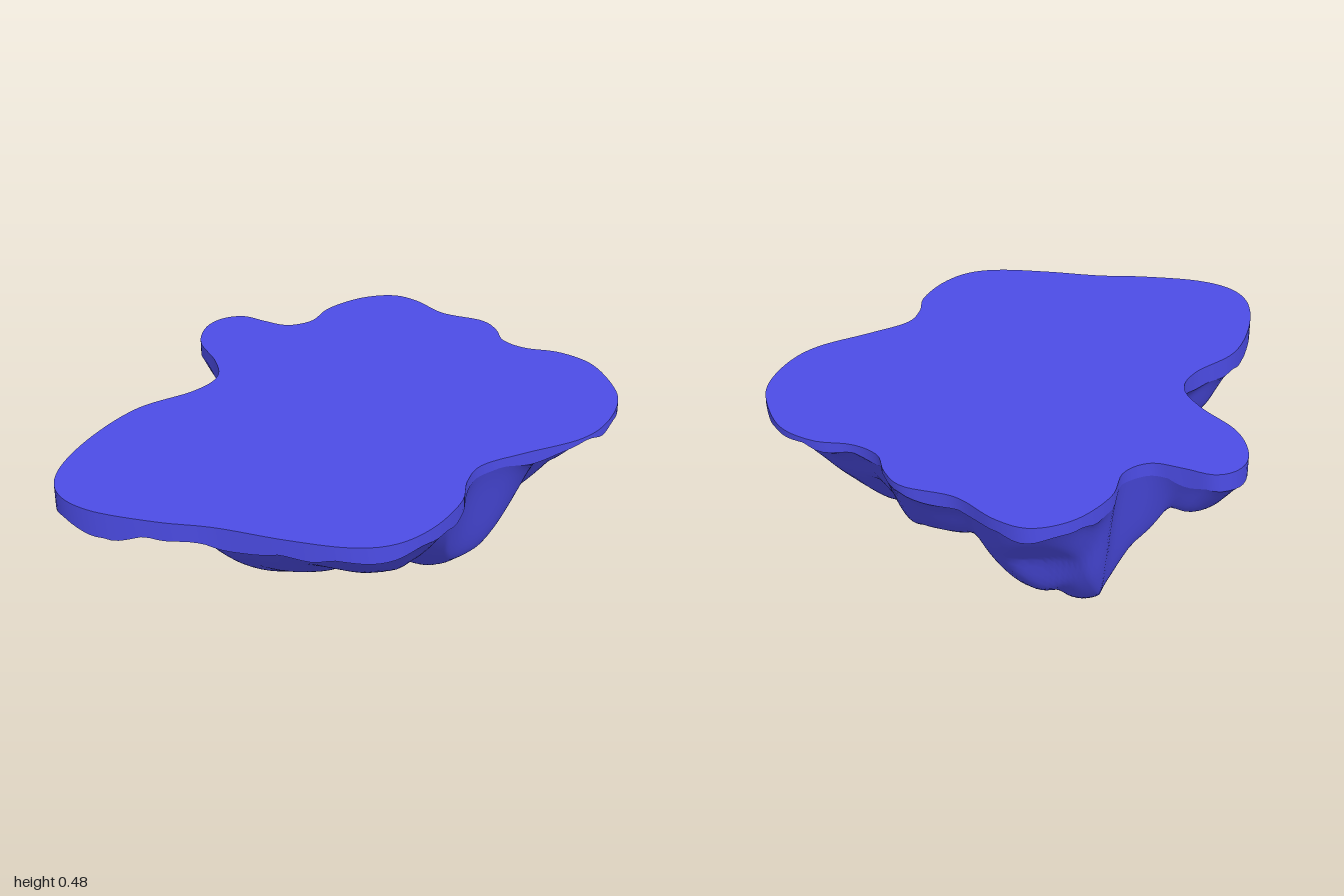
import * as THREE from 'three';

const TOP = 0.49, COLUMNS = 260, RINGS = 80;
const CENTRE = new THREE.Vector3(-0.05, 0, -0.08);

// Plan outline as x, z pairs
const OUTLINE = [
  0.81, -0.08, 0.77, 0.1, 0.69, 0.23, 0.53, 0.35, 0.41, 0.45, 0.375, 0.56, 0.37, 0.69, 0.31, 0.85,
  0.22, 0.96, 0.1, 0.998, -0.08, 0.98, -0.28, 0.94, -0.45, 0.93, -0.65, 0.89, -0.77, 0.8, -0.815, 0.65,
  -0.79, 0.42, -0.71, 0.19, -0.57, 0.03, -0.52, -0.1, -0.56, -0.24, -0.65, -0.4, -0.67, -0.55, -0.635, -0.65,
  -0.56, -0.69, -0.47, -0.65, -0.38, -0.62, -0.3, -0.68, -0.26, -0.82, -0.16, -0.95, -0.04, -1, 0.06, -0.95,
  0.17, -0.83, 0.32, -0.77, 0.38, -0.68, 0.41, -0.58, 0.49, -0.515, 0.61, -0.49, 0.72, -0.4, 0.79, -0.23,
];

// Hanging rock lobes: x, z, lowest y, radius in x, radius in z
const LOBES = [
  [-0.27, -0.23, 0.0, 0.3, 0.34], [-0.16, -0.1, 0.0, 0.36, 0.36], [0, 0, 0.025, 0.36, 0.36],
  [-0.2, -0.59, 0.02, 0.28, 0.3], [-0.08, -0.66, 0.1, 0.26, 0.27], [0.24, 0.25, 0.045, 0.34, 0.4],
  [-0.38, 0.32, 0.12, 0.38, 0.36], [-0.14, 0.56, 0.165, 0.38, 0.36], [0.37, -0.1, 0.12, 0.37, 0.42],
  [0.2, -0.48, 0.22, 0.32, 0.36], [0.08, 0.78, 0.31, 0.32, 0.26], [-0.54, -0.5, 0.3, 0.24, 0.26],
];

// Lowest rock level along x and along z, as position, level pairs
const ALONG_X = [-0.81, 0.41, -0.7, 0.36, -0.6, 0.27, -0.5, 0.19, -0.38, 0.12, -0.35, 0.05, -0.2, 0, -0.05, 0.03,
  0, 0.02, 0.05, 0.04, 0.14, 0.11, 0.23, 0.05, 0.4, 0.12, 0.5, 0.24, 0.6, 0.36, 0.7, 0.37, 0.81, 0.46];
const ALONG_Z = [-1, 0.46, -0.9, 0.39, -0.8, 0.27, -0.75, 0.12, -0.7, 0.06, -0.6, 0.02, -0.5, 0.06, -0.4, 0.15,
  -0.28, 0.01, -0.1, 0, 0, 0.02, 0.1, 0.06, 0.25, 0.05, 0.35, 0.07, 0.45, 0.15, 0.6, 0.17, 0.7, 0.19,
  0.8, 0.29, 0.9, 0.39, 1, 0.45];

function level(table, v) {
  for (let i = 2; i < table.length; i += 2) {
    if (v <= table[i]) return THREE.MathUtils.mapLinear(v, table[i - 2], table[i], table[i - 1], table[i + 1]);
  }
  return table[table.length - 1];
}

// Smooth minimum and maximum
function smoothMin(a, b, k) {
  const h = Math.max(k - Math.abs(a - b), 0) / k;
  return Math.min(a, b) - h * h * k * 0.25;
}
const smoothMax = (a, b, k) => -smoothMin(-a, -b, k);

// Warped waves for the rocky relief
function relief(x, z) {
  const u = x + 0.06 * Math.sin(9 * z + 1), v = z + 0.06 * Math.sin(8 * x + 2);
  return 0.5 * Math.sin(11 * u + 4 * v) * Math.sin(9 * v - 3 * u + 1)
    + 0.3 * Math.sin(21 * u - 8 * v + 2) * Math.sin(17 * v + 1)
    + 0.2 * (1 - 2 * Math.abs(Math.sin(12 * u + 10 * v)));
}

const rimLevel = (x, z) => 0.447 + 0.025 * x - 0.008 * z + 0.02 * relief(x * 1.3 + 2, z * 1.3);

function rockLevel(x, z) {
  // Broad cone that the lobes hang from
  let y = 0.22 + 0.22 * Math.hypot((x + 0.05) / 0.75, (z - 0.02) / 0.9);
  for (const [cx, cz, low, rx, rz] of LOBES) {
    const d = Math.hypot((x - cx) / rx, (z - cz) / rz);
    y = smoothMin(y, low + (0.44 - low) * Math.pow(d, 1.8), 0.04);
  }
  y += 0.022 * relief(x, z);
  y = smoothMax(y, level(ALONG_X, x), 0.03);
  y = smoothMax(y, level(ALONG_Z, z), 0.03);
  return Math.max(y, 0);
}

// Closed loops of equal length joined into one smooth skin
function skin(rows) {
  const n = rows[0].length, index = [];
  for (let i = 0; i < rows.length - 1; i++) {
    for (let j = 0; j < n; j++) {
      const a = i * n + j, b = i * n + (j + 1) % n;
      index.push(a, b, a + n, b, b + n, a + n);
    }
  }
  const geometry = new THREE.BufferGeometry().setFromPoints(rows.flat());
  geometry.setIndex(index);
  geometry.computeVertexNormals();
  return geometry;
}

export function createModel() {
  const group = new THREE.Group();
  group.name = 'floatingIsland';
  const material = new THREE.MeshStandardMaterial({ color: 0x4c4ce6 });
  const add = (name, geometry) => {
    const mesh = new THREE.Mesh(geometry, material);
    mesh.name = name;
    group.add(mesh);
  };

  const corners = [];
  for (let i = 0; i < OUTLINE.length; i += 2) corners.push(new THREE.Vector3(OUTLINE[i], 0, OUTLINE[i + 1]));
  const edge = new THREE.CatmullRomCurve3(corners, true, 'catmullrom').getSpacedPoints(COLUMNS).slice(0, COLUMNS);

  // Flat top
  const shape = new THREE.Shape(edge.map((p) => new THREE.Vector2(p.x, -p.z)));
  add('flatTop', new THREE.ShapeGeometry(shape).rotateX(-Math.PI / 2).translate(0, TOP, 0));

  // Upright rim with a ragged lower edge
  add('rim', skin([
    edge.map((p) => new THREE.Vector3(p.x, TOP, p.z)),
    edge.map((p) => new THREE.Vector3(p.x, rimLevel(p.x, p.z), p.z)),
  ]));

  // Rocky underside, drawn from the rim in to the centre
  const rows = [];
  for (let i = 0; i <= RINGS; i++) {
    const t = 1 - i / RINGS;
    rows.push(edge.map((p) => {
      const q = CENTRE.clone().lerp(p, t);
      const inset = (1 - t) * p.distanceTo(CENTRE);
      const k = Math.sin(Math.min(inset / 0.12, 1) * Math.PI / 2);
      q.y = THREE.MathUtils.lerp(rimLevel(p.x, p.z), rockLevel(q.x, q.z), k);
      return q;
    }));
  }
  add('rockyUnderside', skin(rows));
  return group;
}
